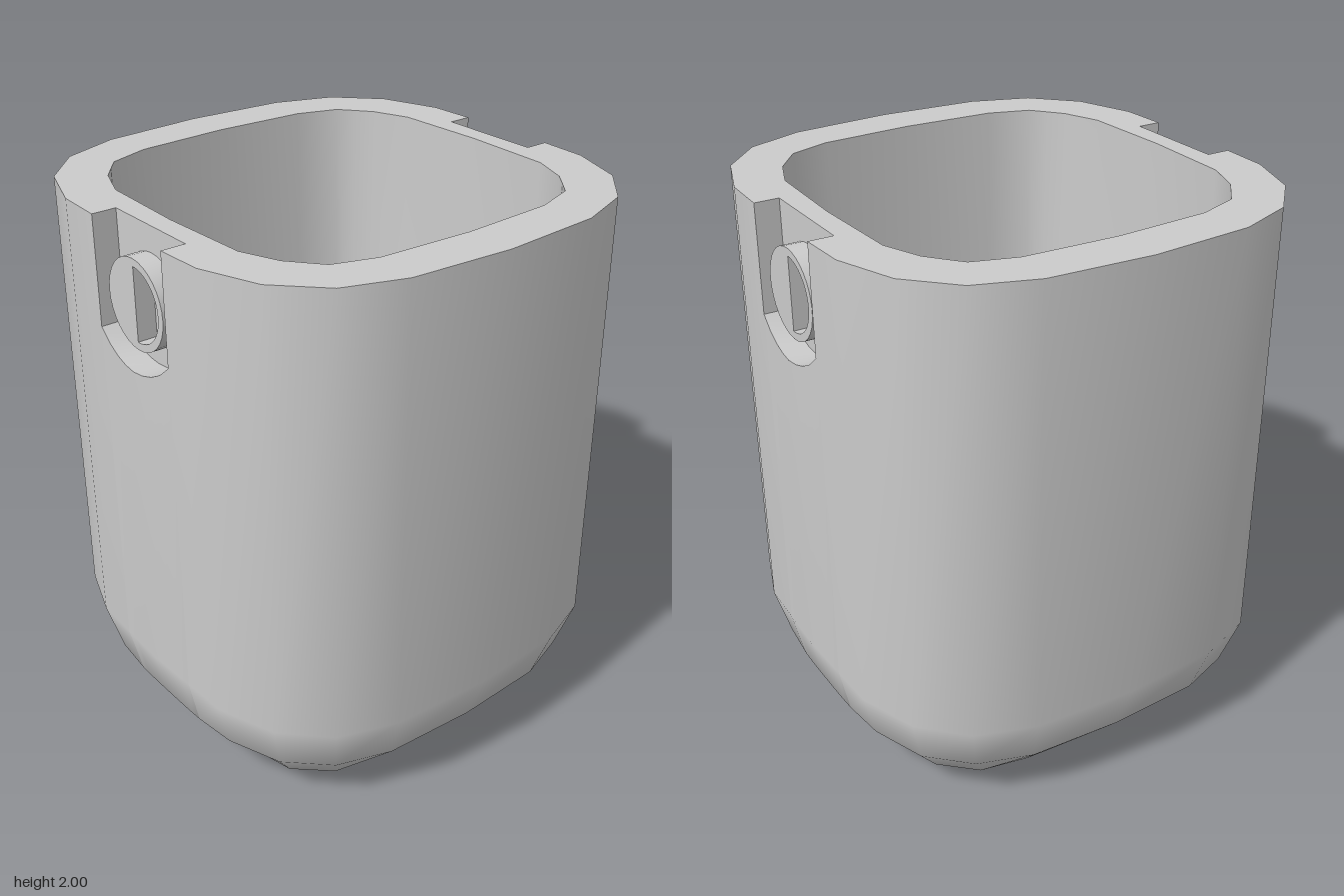
import * as THREE from 'three';
import { toCreasedNormals } from 'three/addons/utils/BufferGeometryUtils.js';

const TOP = 2, FULL = 0.385;            // rim height, height where walls become vertical
const SLOT = 0.195, SLOT_Z = 0.72;      // notch half width, notch back plane
const slotFloor = x => 1.795 - Math.sqrt(0.265 ** 2 - x * x);
const wallZ = x => 0.815 - 0.04 * Math.abs(x);
const material = new THREE.MeshStandardMaterial({ color: 0xcccccc });

// Mirror one quadrant (from the x axis to the z axis) into a closed outline.
function closeOutline(quadrant) {
  const back = quadrant.slice(0, -1).reverse().map(p => ({ ...p, x: -p.x }));
  const half = [...quadrant, ...back].slice(0, -1);
  return [...half, ...half.map(p => ({ ...p, x: -p.x, z: -p.z }))];
}

// Push an outline radially onto a superellipse: high n gives a squarer plan.
function squareRing(outline, y, ax, az, n) {
  return outline.map(p => {
    const k = (Math.abs(p.x / ax) ** n + Math.abs(p.z / az) ** n) ** (-1 / n);
    return [p.x * k, y, p.z * k];
  });
}

// Skin a stack of rings of equal length.
function loft(rings, closed = true, inward = false) {
  const n = rings[0].length, index = [];
  for (let r = 0; r < rings.length - 1; r++) {
    for (let i = 0; i < (closed ? n : n - 1); i++) {
      const j = (i + 1) % n;
      const a = r * n + i, b = r * n + j, c = b + n, d = a + n;
      if (inward) index.push(a, b, d, b, c, d);
      else index.push(a, d, b, b, d, c);
    }
  }
  const g = new THREE.BufferGeometry();
  g.setAttribute('position', new THREE.Float32BufferAttribute(rings.flat(2), 3));
  g.setIndex(index);
  g.computeVertexNormals();
  return g;
}

const toShape = (ring, s) => new THREE.Shape(ring.map(p => new THREE.Vector2(p[0], s * p[2])));

function part(name, geometry) {
  const mesh = new THREE.Mesh(geometry, material);
  mesh.name = name;
  return mesh;
}

// Notch with a round catch that has a half-moon recess.
function createNotch() {
  const g = new THREE.Group();
  const path = [[-SLOT, TOP]];
  for (let i = -4; i <= 4; i++) path.push([i * SLOT / 4, slotFloor(i * SLOT / 4)]);
  path.push([SLOT, TOP]);

  const liner = loft([
    path.map(([x, y]) => [x, y, SLOT_Z]),
    path.map(([x, y]) => [x, y, wallZ(x)]),
  ], false);
  g.add(part('notchSides', toCreasedNormals(liner, 0.5)));

  const panel = new THREE.ShapeGeometry(new THREE.Shape(path.map(p => new THREE.Vector2(...p))));
  panel.translate(0, 0, SLOT_Z);
  g.add(part('notchBack', panel));

  const disc = new THREE.Shape().absarc(0, 0, 0.155, 0, Math.PI * 2);
  const recess = new THREE.Path();
  recess.moveTo(0, -0.138);
  recess.absarc(0, 0, 0.128, -Math.PI / 2, Math.PI / 2);
  recess.closePath();
  disc.holes.push(recess);
  const catchGeo = new THREE.ExtrudeGeometry(disc, { depth: 0.07, bevelEnabled: false, curveSegments: 16 });
  catchGeo.translate(0, 1.755, SLOT_Z);
  g.add(part('catchDisc', toCreasedNormals(catchGeo, 0.6)));
  return g;
}

export function createModel() {
  const model = new THREE.Group();
  model.name = 'cup';

  // Outer outline; points inside the notch stop at its curved floor.
  const outerQuadrant = [[0.83, 0], [0.805, 0.37], [0.73, 0.58], [0.58, 0.725], [0.37, 0.8], [SLOT, wallZ(SLOT)]]
    .map(([x, z]) => ({ x, z, top: TOP }));
  for (let i = 4; i >= 0; i--) {
    const x = i * SLOT / 4;
    outerQuadrant.push({ x, z: wallZ(x), top: slotFloor(x), notch: true });
  }
  const outer = closeOutline(outerQuadrant);
  const base = squareRing(outer, 0, 0.478, 0.48, 10);
  model.add(part('outerWall', loft([
    base,
    squareRing(outer, 0.05, 0.612, 0.62, 4.4),
    squareRing(outer, 0.2, 0.762, 0.768, 3.2),
    outer.map(p => [p.x, FULL, p.z]),
    outer.map(p => [p.x, p.top, p.z]),
  ])));
  model.add(part('base', new THREE.ShapeGeometry(toShape(base, 1)).rotateX(Math.PI / 2)));

  // Cavity
  const inner = closeOutline([[0.652, 0], [0.635, 0.34], [0.585, 0.49], [0.532, 0.534], [0.475, 0.58], [0.34, 0.633], [0, 0.645]]
    .map(([x, z]) => ({ x, z })));
  const floor = squareRing(inner, 0.17, 0.375, 0.4, 30);
  const innerTop = inner.map(p => [p.x, TOP, p.z]);
  model.add(part('innerWall', loft([
    floor,
    squareRing(inner, 0.2, 0.5, 0.51, 6),
    squareRing(inner, 0.28, 0.61, 0.605, 3.6),
    inner.map(p => [p.x, 0.4, p.z]),
    innerTop,
  ], true, true)));
  model.add(part('cavityFloor', new THREE.ShapeGeometry(toShape(floor, -1))
    .rotateX(-Math.PI / 2).translate(0, 0.17, 0)));

  // Flat rim, cut back at both notches
  const rim = toShape(outer.map(p => [p.x, TOP, p.notch ? Math.sign(p.z) * SLOT_Z : p.z]), -1);
  rim.holes.push(toShape(innerTop, -1));
  model.add(part('rim', new THREE.ShapeGeometry(rim).rotateX(-Math.PI / 2).translate(0, TOP, 0)));

  // Front and back notches
  ['frontNotch', 'backNotch'].forEach((name, i) => {
    const notch = createNotch();
    notch.name = name;
    notch.rotation.y = i * Math.PI;
    model.add(notch);
  });
  return model;
}
